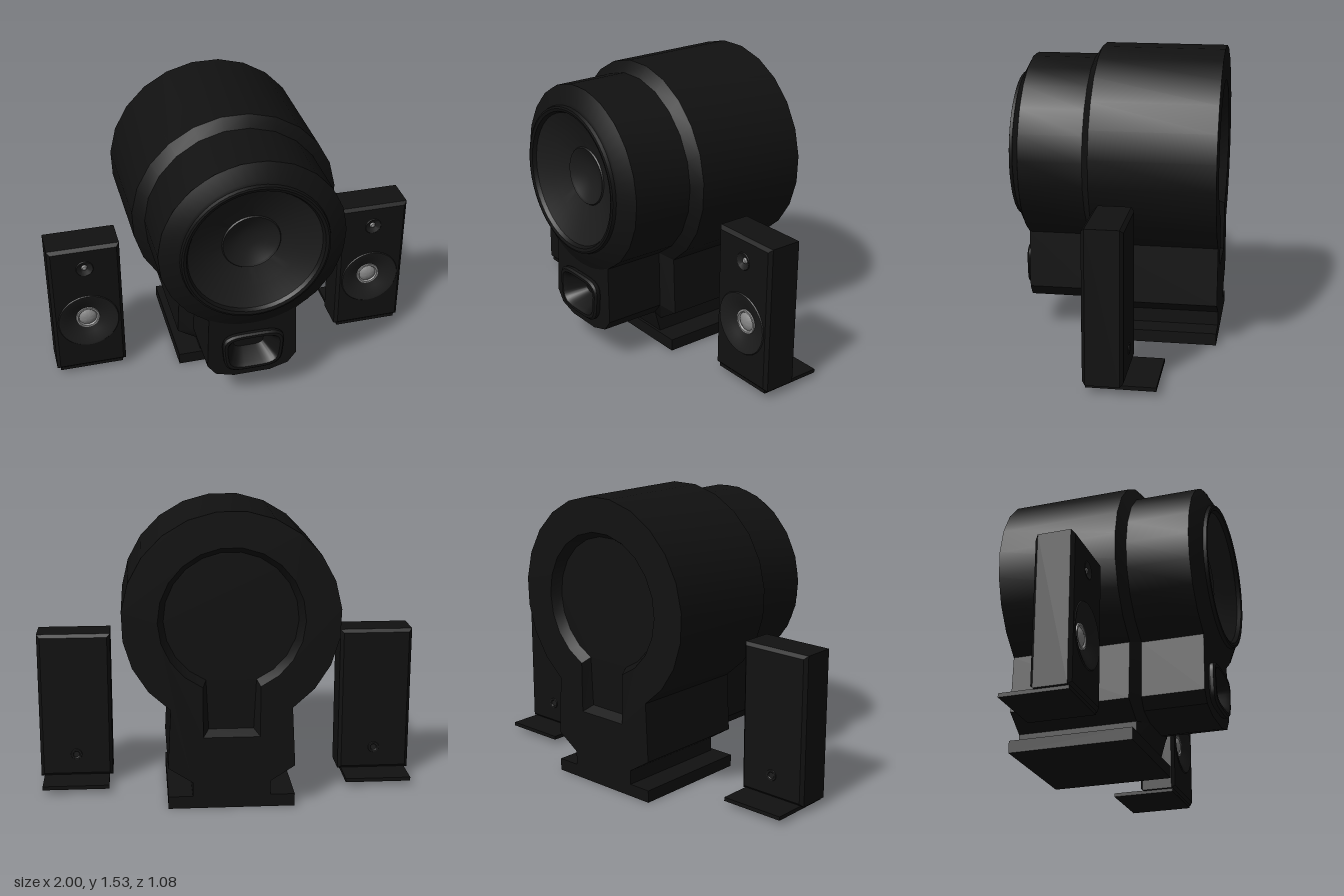
import * as THREE from 'three';
import { toCreasedNormals } from 'three/addons/utils/BufferGeometryUtils.js';

const material = (color) => new THREE.MeshStandardMaterial({ color, side: THREE.DoubleSide });
const black = material(0x111111);
const coneBlack = material(0x1c1c1c);
const silver = material(0x888888);

function add(parent, name, geometry, mat = black) {
  const mesh = new THREE.Mesh(geometry, mat);
  mesh.name = name;
  parent.add(mesh);
  return mesh;
}

// Skin joining outlines of equal point count, each given as [points, z]
function loft(rings) {
  const pos = [];
  for (let i = 0; i < rings.length - 1; i++) {
    const [p, z0] = rings[i], [q, z1] = rings[i + 1], n = p.length;
    for (let j = 0; j < n; j++) {
      const k = (j + 1) % n;
      const a = [...p[j], z0], b = [...p[k], z0], c = [...q[k], z1], d = [...q[j], z1];
      pos.push(...a, ...b, ...c, ...a, ...c, ...d);
    }
  }
  const g = new THREE.BufferGeometry();
  g.setAttribute('position', new THREE.Float32BufferAttribute(pos, 3));
  g.computeVertexNormals();
  return toCreasedNormals(g, 0.4);
}

// Flat face at z, with optional holes
function cap(points, z, holes = []) {
  const vectors = (list) => list.map(([x, y]) => new THREE.Vector2(x, y));
  const shape = new THREE.Shape(vectors(points));
  shape.holes = holes.map((h) => new THREE.Path(vectors(h)));
  return new THREE.ShapeGeometry(shape).translate(0, 0, z);
}

// Round part turned about the z axis from [radius, z] points
function turned(profile, segments = 40) {
  const g = new THREE.LatheGeometry(profile.map(([r, z]) => new THREE.Vector2(r, z)), segments);
  return toCreasedNormals(g.rotateX(Math.PI / 2), 0.4);
}

function circle(r, cx, cy, n = 40) {
  return Array.from({ length: n }, (_, i) => {
    const a = (i / n) * Math.PI * 2;
    return [cx + r * Math.cos(a), cy + r * Math.sin(a)];
  });
}

const CY = 0.985;

// Circle opening at neckY into a neck; foot lists the neck's right-hand corners
function keyhole(r, neckY, foot, n = 19) {
  const start = Math.asin((neckY - CY) / r), span = Math.PI - 2 * start, pts = [];
  for (let i = 0; i <= n; i++) {
    const a = start + (span * i) / n;
    pts.push([r * Math.cos(a), CY + r * Math.sin(a)]);
  }
  foot.forEach(([x, y]) => pts.push([-x, y]));
  [...foot].reverse().forEach(([x, y]) => pts.push([x, y]));
  return pts;
}

// Soft-cornered port outline, narrower at the bottom
function portLoop(a, b, n = 40) {
  return Array.from({ length: n }, (_, i) => {
    const t = (i / n) * Math.PI * 2, c = Math.cos(t), s = Math.sin(t);
    const y = Math.sign(s) * Math.abs(s) ** 0.5;
    const x = Math.sign(c) * Math.abs(c) ** 0.5 * (0.94 + 0.06 * y);
    return [a * x, 0.33 + b * y];
  });
}

function rect(w, h) {
  return [[-w, -h], [w, -h], [w, h], [-w, h]];
}

function createSubwoofer() {
  const g = new THREE.Group();
  g.name = 'subwoofer';

  // Barrel housing stepping in to a smaller front section
  const rear = keyhole(0.55, 0.53, [[0.325, 0.22], [0.2, 0.14], [0.2, 0.05]]);
  const front = keyhole(0.49, 0.555, [[0.245, 0.25], [0.2, 0.19], [0.1, 0.16]]);
  add(g, 'housing', loft([[rear, -0.54], [rear, 0.1], [front, 0.14], [front, 0.47]]));
  add(g, 'frontFace', cap(front, 0.47, [circle(0.4, 0, CY), portLoop(0.15, 0.1)]));

  // Keyhole recess in the back
  const recess = keyhole(0.37, 0.645, [[0.145, 0.38]]);
  const recessFloor = keyhole(0.34, 0.67, [[0.115, 0.41]]);
  add(g, 'backFace', cap(rear, -0.54, [recess]));
  add(g, 'recessWall', loft([[recess, -0.54], [recessFloor, -0.49]]));
  add(g, 'recessPanel', cap(recessFloor, -0.49));

  // Woofer: bevelled surround, rim, cone and dished cap
  add(g, 'wooferSurround', turned([[0.487, 0.47], [0.405, 0.515], [0.39, 0.52], [0.385, 0.537],
    [0.375, 0.54], [0.36, 0.535], [0.35, 0.515]], 48)).position.y = CY;
  add(g, 'wooferCone', turned([[0.35, 0.515], [0.25, 0.465], [0.155, 0.43], [0.15, 0.437],
    [0.14, 0.432]], 48), coneBlack).position.y = CY;
  add(g, 'wooferCap', turned([[0.14, 0.432], [0.09, 0.405], [0.045, 0.393], [0, 0.39]], 48),
    coneBlack).position.y = CY;

  // Bass port with a raised lip
  const throat = portLoop(0.09, 0.045);
  add(g, 'portLip', loft([[portLoop(0.17, 0.115), 0.47], [portLoop(0.175, 0.12), 0.48],
    [portLoop(0.175, 0.12), 0.495], [portLoop(0.165, 0.11), 0.505], [portLoop(0.15, 0.095), 0.505],
    [portLoop(0.135, 0.08), 0.485], [throat, 0.39]]));
  add(g, 'portBack', cap(throat, 0.39));

  add(g, 'base', new THREE.BoxGeometry(0.65, 0.065, 0.66)).position.set(0, 0.0325, -0.21);
  return g;
}

function createSatellite(side) {
  const g = new THREE.Group();
  g.name = side > 0 ? 'leftSatellite' : 'rightSatellite';
  g.position.set(side * 0.807, 0.435, 0);

  // Cabinet with chamfered edges
  const full = rect(0.193, 0.393), inset = rect(0.176, 0.376);
  add(g, 'cabinet', loft([[inset, -0.147], [full, -0.13], [full, 0.038], [inset, 0.055]]));
  add(g, 'cabinetBack', cap(inset, -0.147));
  add(g, 'cabinetFront', cap(inset, 0.055, [circle(0.155, 0, -0.08), circle(0.04, 0, 0.265)]));

  // Midrange driver
  const driver = new THREE.Group();
  driver.name = 'driver';
  driver.position.y = -0.08;
  g.add(driver);
  add(driver, 'driverCone', turned([[0.167, 0.055], [0.163, 0.06], [0.152, 0.058],
    [0.1, 0.036], [0.065, 0.022]]), coneBlack);
  add(driver, 'driverRing', turned([[0.066, 0.02], [0.064, 0.03], [0.054, 0.03], [0.048, 0.022]]), silver);
  add(driver, 'driverCap', turned([[0.048, 0.022], [0.035, 0.031], [0.018, 0.036], [0, 0.038]]), silver);

  // Tweeter
  const tweeter = new THREE.Group();
  tweeter.name = 'tweeter';
  tweeter.position.y = 0.265;
  g.add(tweeter);
  add(tweeter, 'tweeterHorn', turned([[0.047, 0.055], [0.044, 0.058], [0.016, 0.043]], 24), coneBlack);
  add(tweeter, 'tweeterDome', turned([[0.016, 0.043], [0.011, 0.052], [0, 0.056]], 24), silver);

  // Rear socket and floor plate
  add(g, 'socket', turned([[0.03, -0.147], [0.028, -0.152], [0.02, -0.152], [0.016, -0.148],
    [0, -0.148]], 20), coneBlack).position.y = -0.27;
  add(g, 'floorPlate', new THREE.BoxGeometry(0.35, 0.02, 0.345)).position.set(0, -0.4, -0.1325);
  return g;
}

export function createModel() {
  const model = new THREE.Group();
  model.name = 'speakerSet';
  model.add(createSubwoofer(), createSatellite(1), createSatellite(-1));
  return model;
}
